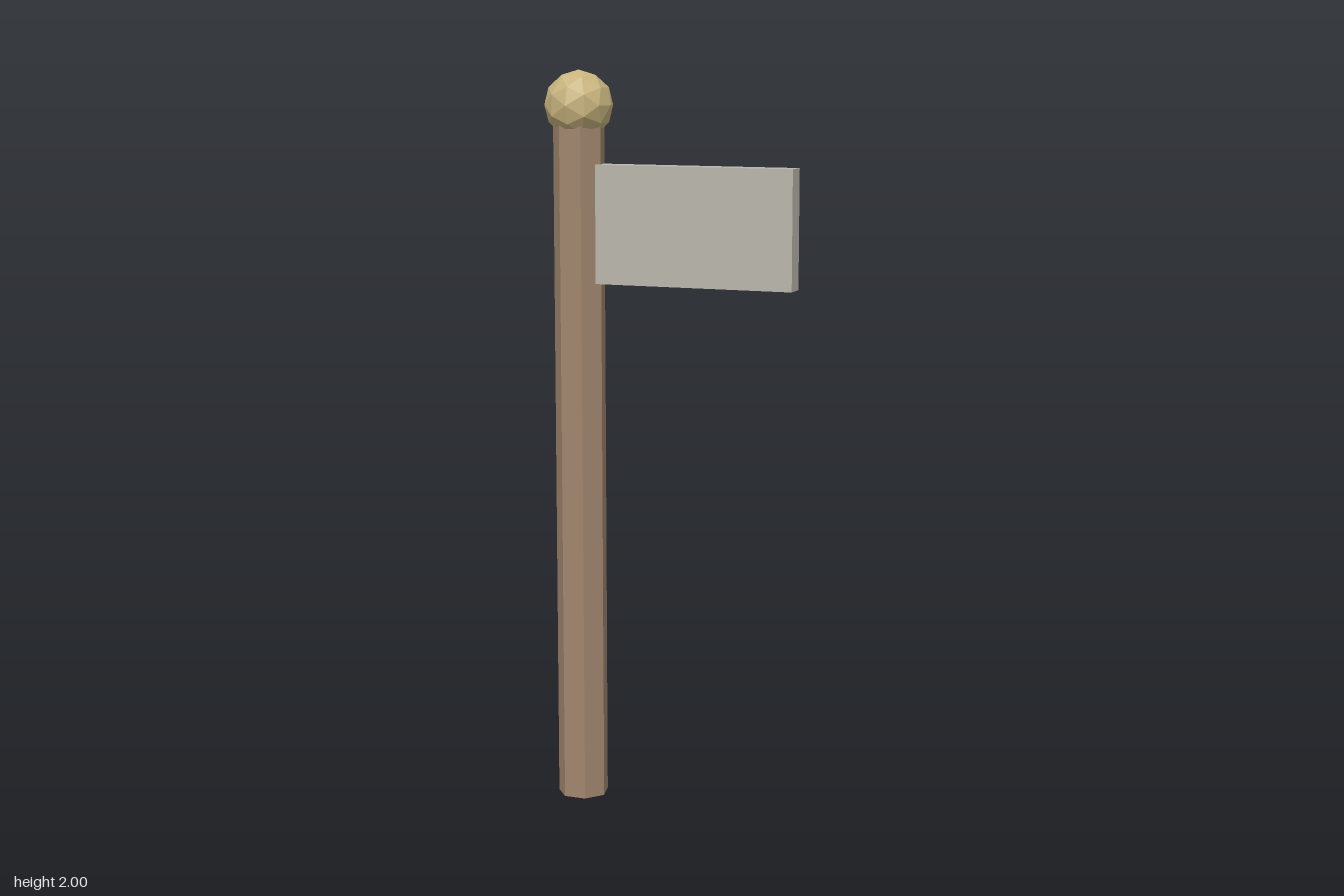
import * as THREE from 'three';

const material = (name, color) => {
  const m = new THREE.MeshStandardMaterial({ color, flatShading: true });
  m.name = name;
  return m;
};

export function createModel() {
  const group = new THREE.Group();
  group.name = 'signpost';
  const postX = -0.257;

  const add = (name, geometry, mat, x, y) => {
    const mesh = new THREE.Mesh(geometry, mat);
    mesh.name = name;
    mesh.position.set(x, y, 0);
    group.add(mesh);
    return mesh;
  };

  // Seven-sided post, with a flat side to the front
  const postHeight = 1.88;
  const post = add('post', new THREE.CylinderGeometry(0.07, 0.07, postHeight, 7),
    material('brown wood', 0xa0866e), postX, postHeight / 2);
  post.rotation.y = Math.PI;

  // Faceted ball on top
  const ballRadius = 0.0925;
  add('finial', new THREE.IcosahedronGeometry(ballRadius, 1),
    material('dull gold', 0xc8b47e), postX, 2 - ballRadius);

  // Sign board, its inner end set into the post
  const left = -0.21, right = 0.35, bottom = 1.435, top = 1.752;
  add('signBoard', new THREE.BoxGeometry(right - left, top - bottom, 0.058),
    material('warm grey', 0xb9b6ac), (left + right) / 2, (bottom + top) / 2);

  return group;
}
